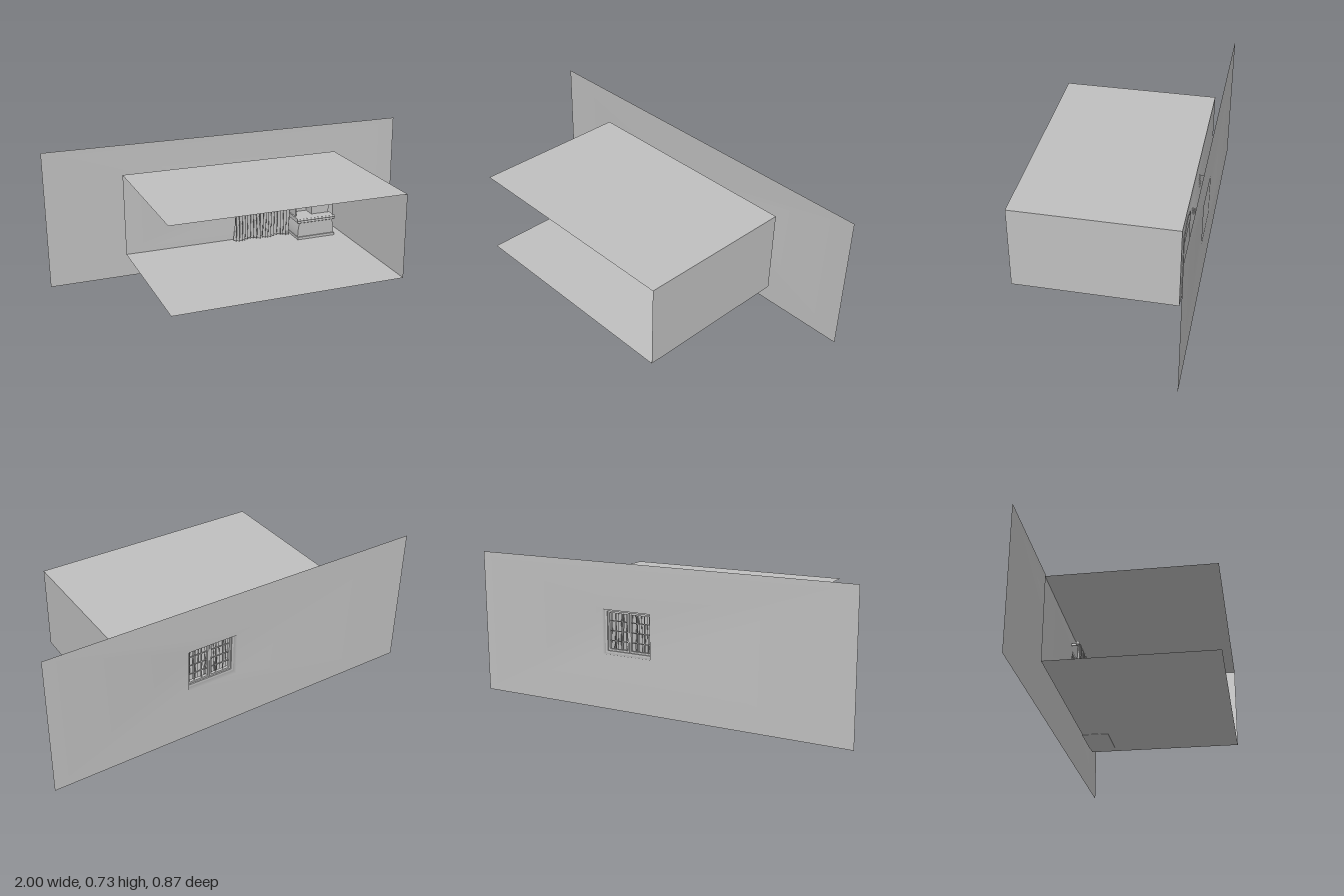
import * as THREE from 'three';

const grey = new THREE.MeshStandardMaterial({ color: 0xbfbfbf, side: THREE.DoubleSide });
grey.name = 'plain grey';

function add(parent, name, geometry) {
  const mesh = new THREE.Mesh(geometry, grey);
  mesh.name = name;
  parent.add(mesh);
  return mesh;
}

function group(parent, name) {
  const g = new THREE.Group();
  g.name = name;
  parent.add(g);
  return g;
}

// Box given by its limits on each axis
function box(parent, name, x0, x1, y0, y1, z0, z1) {
  const mesh = add(parent, name, new THREE.BoxGeometry(x1 - x0, y1 - y0, z1 - z0));
  mesh.position.set((x0 + x1) / 2, (y0 + y1) / 2, (z0 + z1) / 2);
  return mesh;
}

const ROOM = { x: 0.602, y0: 0.146, y1: 0.585, back: -0.378, front: 0.435 };
const HOLE = [0.02, 0.285, 0.276, 0.497];

// Outer facade, window reveal and inner wall as one smooth sheet of rectangular rings
function wallSheet() {
  const rings = [
    [-1, 1, 0, 0.728, -0.435],
    [...HOLE, -0.435],
    [...HOLE, ROOM.back],
    [-ROOM.x, ROOM.x, ROOM.y0, ROOM.y1, ROOM.back],
  ];
  const points = [], index = [];
  for (const [x0, x1, y0, y1, z] of rings) {
    points.push(x0, y0, z, x1, y0, z, x1, y1, z, x0, y1, z);
  }
  for (let r = 0; r < 3; r++) {
    for (let k = 0; k < 4; k++) {
      const a = r * 4 + k, b = r * 4 + (k + 1) % 4;
      index.push(a, a + 4, b + 4, a, b + 4, b);
    }
  }
  const g = new THREE.BufferGeometry();
  g.setAttribute('position', new THREE.Float32BufferAttribute(points, 3));
  g.setIndex(index);
  g.computeVertexNormals();
  return g;
}

function buildRoom(model) {
  const room = group(model, 'room');
  add(room, 'backWall', wallSheet());
  const depth = ROOM.front - ROOM.back, midZ = (ROOM.front + ROOM.back) / 2;
  for (const [name, y] of [['floor', ROOM.y0], ['ceiling', ROOM.y1]]) {
    const slab = add(room, name, new THREE.PlaneGeometry(ROOM.x * 2, depth));
    slab.rotation.x = -Math.PI / 2;
    slab.position.set(0, y, midZ);
  }
  const side = add(room, 'sideWall', new THREE.PlaneGeometry(depth, ROOM.y1 - ROOM.y0));
  side.rotation.y = Math.PI / 2;
  side.position.set(ROOM.x, (ROOM.y0 + ROOM.y1) / 2, midZ);
}

// Rectangular frame made from four bars
function frame(parent, name, x0, x1, y0, y1, z0, z1, t) {
  box(parent, name + 'Bottom', x0, x1, y0, y0 + t, z0, z1);
  box(parent, name + 'Top', x0, x1, y1 - t, y1, z0, z1);
  box(parent, name + 'Right', x0, x0 + t, y0 + t, y1 - t, z0, z1);
  box(parent, name + 'Left', x1 - t, x1, y0 + t, y1 - t, z0, z1);
}

function buildWindow(model) {
  const win = group(model, 'window');
  const [x0, x1, y0, y1] = HOLE, mid = (x0 + x1) / 2;
  frame(win, 'casing', x0, x1, y0, y1, -0.41, -0.38, 0.012);
  // Two casements with glazing bars, three panes wide and four high
  for (const [a, b] of [[x0 + 0.012, mid - 0.001], [mid + 0.001, x1 - 0.012]]) {
    const c = y0 + 0.012, d = y1 - 0.012;
    frame(win, 'sash', a, b, c, d, -0.403, -0.387, 0.009);
    for (let i = 1; i < 3; i++) {
      const x = a + (b - a) * i / 3;
      box(win, 'uprightBar', x - 0.002, x + 0.002, c, d, -0.398, -0.392);
    }
    for (let i = 1; i < 4; i++) {
      const y = c + (d - c) * i / 4;
      box(win, 'crossBar', a, b, y - 0.002, y + 0.002, -0.398, -0.392);
    }
  }
}

// Pleated cloth: a plane whose vertices follow drifting waves
function pleatedCloth(top, bottom, phase) {
  const g = new THREE.PlaneGeometry(1, 1, 120, 16);
  const p = g.attributes.position;
  for (let i = 0; i < p.count; i++) {
    const u = p.getX(i) + 0.5, drop = 0.5 - p.getY(i);
    const a = THREE.MathUtils.lerp(top[0], bottom[0], drop);
    const b = THREE.MathUtils.lerp(top[1], bottom[1], drop);
    const wave = u * Math.PI * 18 + phase + 0.9 * Math.sin(drop * 4 + u * 7 + phase);
    const sway = 0.003 * Math.sin(drop * 9 + phase) * drop;
    const x = a + (b - a) * u + sway + 0.003 * Math.sin(wave * 2);
    p.setXYZ(i, x, 0.535 - drop * (0.383 + 0.004 * Math.sin(u * 8)),
      -0.343 + (0.008 + 0.006 * drop) * Math.sin(wave));
  }
  g.computeVertexNormals();
  return g;
}

function buildCurtains(model) {
  const curtains = group(model, 'curtains');
  add(curtains, 'rightCurtain', pleatedCloth([0.004, 0.153], [-0.008, 0.15], 0));
  add(curtains, 'leftCurtain', pleatedCloth([0.157, 0.307], [0.158, 0.313], 2));
  const rod = add(curtains, 'rod', new THREE.CylinderGeometry(0.006, 0.006, 0.34, 16));
  rod.rotation.z = Math.PI / 2;
  rod.position.set(0.152, 0.522, -0.343);
  for (const s of [-1, 1]) {
    const knob = add(curtains, 'finial', new THREE.SphereGeometry(0.011, 16, 12));
    knob.position.set(0.152 + s * 0.166, 0.522, -0.343);
    const x = 0.152 + s * 0.152;
    box(curtains, 'bracket', x - 0.003, x + 0.003, 0.516, 0.528, -0.378, -0.343);
  }
}

// Front outline with a symmetrical edge, extruded along z
function extruded(shape, z0, z1) {
  const g = new THREE.ExtrudeGeometry(shape, { depth: z1 - z0, bevelEnabled: false, curveSegments: 10 });
  g.translate(0.437, 0, z0);
  return g;
}

function buildCabinet(model) {
  const cab = group(model, 'cabinet');
  // Base with gently curved sides and a plinth
  const base = new THREE.Shape();
  base.moveTo(-0.107, 0.16);
  base.lineTo(0.107, 0.16);
  base.quadraticCurveTo(0.109, 0.195, 0.097, 0.242);
  base.lineTo(-0.097, 0.242);
  base.quadraticCurveTo(-0.109, 0.195, -0.107, 0.16);
  add(cab, 'base', extruded(base, -0.38, -0.248));
  box(cab, 'plinth', 0.327, 0.547, 0.144, 0.16, -0.38, -0.24);
  // Counter with rounded ledges
  box(cab, 'counter', 0.329, 0.545, 0.24, 0.262, -0.382, -0.245);
  for (const y of [0.245, 0.257]) {
    const ledge = add(cab, 'counterEdge', new THREE.CylinderGeometry(0.006, 0.006, 0.224, 12));
    ledge.rotation.z = Math.PI / 2;
    ledge.position.set(0.437, y, -0.245);
  }
  // Hutch: open shelves on one half, closed door on the other
  box(cab, 'hutchBack', 0.337, 0.537, 0.262, 0.47, -0.38, -0.372);
  for (const [x, w] of [[0.337, 0.007], [0.435, 0.006], [0.53, 0.007]]) {
    box(cab, 'upright', x, x + w, 0.262, 0.47, -0.372, -0.3);
  }
  for (const y of [0.316, 0.395]) box(cab, 'shelf', 0.344, 0.435, y, y + 0.007, -0.372, -0.303);
  box(cab, 'door', 0.441, 0.53, 0.262, 0.462, -0.31, -0.303);
  box(cab, 'hutchTop', 0.335, 0.539, 0.465, 0.474, -0.38, -0.3);
  // Arched crown with a scalloped lower edge
  const crown = new THREE.Shape();
  crown.moveTo(-0.108, 0.455);
  for (let i = 0; i < 6; i++) {
    const x = -0.108 + i * 0.036;
    crown.quadraticCurveTo(x + 0.018, 0.475, x + 0.036, 0.455);
  }
  crown.lineTo(0.108, 0.5);
  crown.quadraticCurveTo(0.085, 0.517, 0.062, 0.51);
  crown.quadraticCurveTo(0.045, 0.535, 0, 0.535);
  crown.quadraticCurveTo(-0.045, 0.535, -0.062, 0.51);
  crown.quadraticCurveTo(-0.085, 0.517, -0.108, 0.5);
  add(cab, 'crown', extruded(crown, -0.3, -0.29));
  add(cab, 'crownBack', extruded(crown, -0.381, -0.372));
}

export function createModel() {
  const model = new THREE.Group();
  model.name = 'furnishedRoom';
  buildRoom(model);
  buildWindow(model);
  buildCurtains(model);
  buildCabinet(model);
  return model;
}
